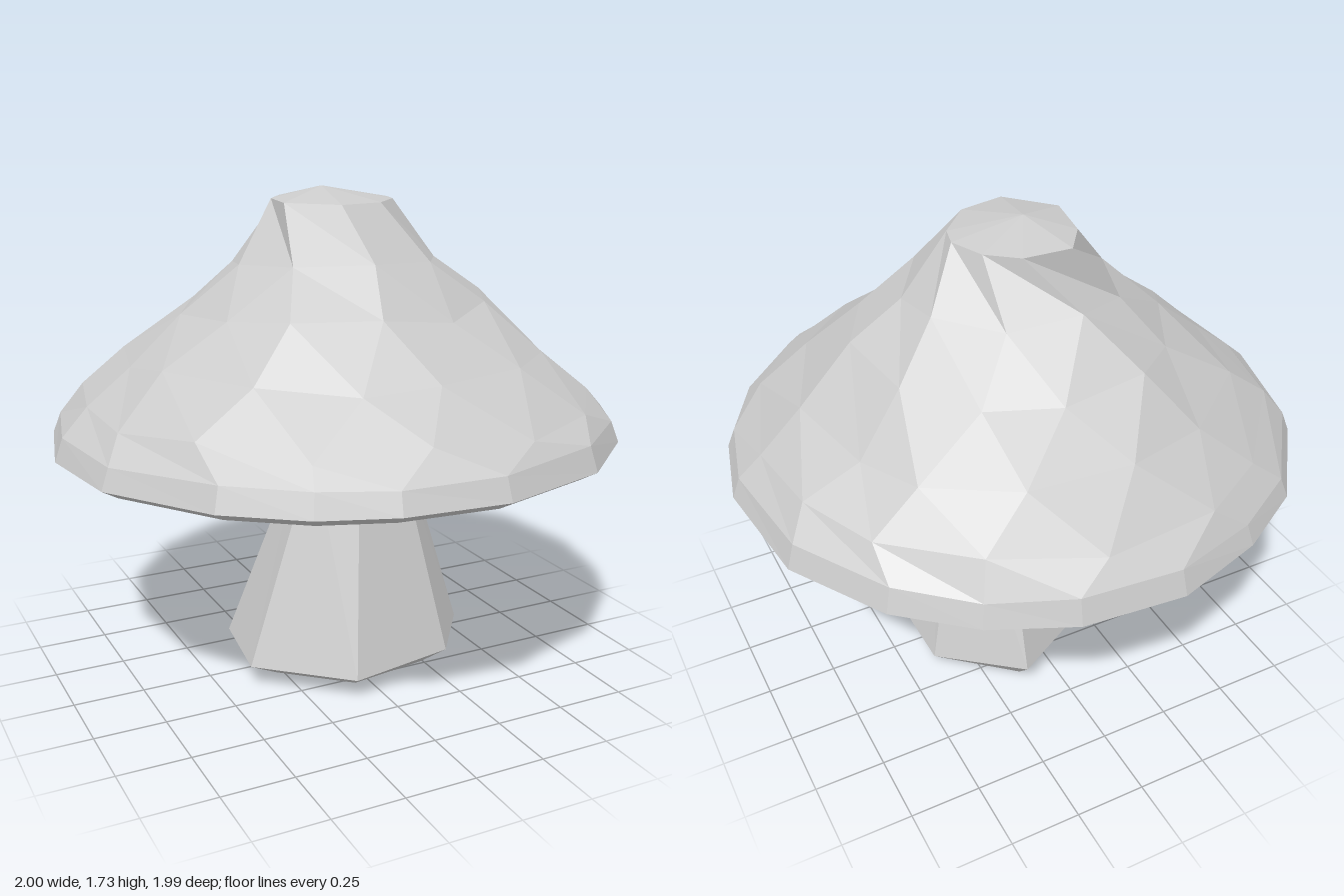
import * as THREE from 'three';

const material = new THREE.MeshStandardMaterial({ color: 0xcccccc, flatShading: true, side: THREE.DoubleSide });

let seed = 7;
const jitter = (amount) => {
  seed = (seed * 16807) % 2147483647;
  return (seed / 2147483647 - 0.5) * 2 * amount;
};

// Irregular ring of n points, angle running from +x towards +z.
function ring(n, radius, y, wobble = 0, cx = 0, cz = 0, turn = 0) {
  return Array.from({ length: n }, (_, i) => {
    const a = ((i + turn) / n) * Math.PI * 2 + jitter(wobble);
    const r = radius * (1 + jitter(wobble * 0.4));
    return [cx + Math.cos(a) * r, y + jitter(wobble * 0.35), cz + Math.sin(a) * r];
  });
}

// Joins successive rings, which may have different point counts, with triangles.
function loft(name, rings) {
  const out = [];
  for (let k = 0; k + 1 < rings.length; k++) {
    const A = rings[k], B = rings[k + 1];
    const na = A.length > 1 ? A.length : 0, nb = B.length > 1 ? B.length : 0;
    const a = (i) => A[i % A.length], b = (j) => B[j % B.length];
    let i = 0, j = 0;
    while (i < na || j < nb) {
      if (j >= nb || (i < na && (i + 1) / na <= (j + 1) / nb)) {
        out.push(...a(i), ...a(i + 1), ...b(j));
        i++;
      } else {
        out.push(...a(i), ...b(j + 1), ...b(j));
        j++;
      }
    }
  }
  const geometry = new THREE.BufferGeometry();
  geometry.setAttribute('position', new THREE.Float32BufferAttribute(out, 3));
  geometry.computeVertexNormals();
  const mesh = new THREE.Mesh(geometry, material);
  mesh.name = name;
  return mesh;
}

// Widest outline of the cap and outline of its crown, as [x, z].
const rim = [[1, 0.08], [0.93, 0.37], [0.8, 0.6], [0.51, 0.86], [0.1, 0.99], [-0.25, 0.96],
  [-0.49, 0.87], [-0.72, 0.69], [-0.95, 0.33], [-1, -0.05], [-0.91, -0.44], [-0.67, -0.75],
  [-0.42, -0.9], [-0.1, -1], [0.25, -0.97], [0.52, -0.85], [0.75, -0.66], [0.95, -0.34]];
const crown = [[0.2, 0.05], [0.09, 0.17], [-0.07, 0.2], [-0.21, 0.05], [-0.18, -0.13],
  [-0.1, -0.24], [0.07, -0.23], [0.17, -0.15], [0.22, -0.03]];
const rimRing = (scale, y, wobble = 0) =>
  rim.map(([x, z]) => [x * scale, y + 0.015 * z + jitter(wobble), z * scale]);

function createCap() {
  return loft('cap', [
    [[-0.03, 1.73, -0.04]],
    crown.map(([x, z]) => [x, 1.685, z]),
    ring(9, 0.36, 1.49, 0.09, 0, -0.01, 0.4),
    ring(12, 0.54, 1.33, 0.08, 0, -0.02, 0.3),
    ring(14, 0.73, 1.17, 0.07, 0, -0.02, 0.3),
    ring(16, 0.89, 1.03, 0.05, 0, 0, 0.3),
    rimRing(0.972, 0.94, 0.012),
    rimRing(1, 0.865),
    rimRing(0.94, 0.83),
    // Hollow underside
    ring(16, 0.81, 0.88, 0.03, 0, 0, 0.3),
    ring(12, 0.56, 1.07, 0.08, 0, 0, 0.3),
    ring(9, 0.26, 1.24, 0.06, 0, 0, 0.3),
    [[0, 1.29, 0]],
  ]);
}

function createStem() {
  // Shoulder just above the ground, as [x, y, z].
  const foot = [[0.43, 0.12, 0.16], [0.28, 0.09, 0.35], [-0.11, 0.08, 0.41], [-0.4, 0.08, 0.15],
    [-0.37, 0.1, -0.14], [0.15, 0.12, -0.44], [0.4, 0.05, -0.16]];
  const section = (scale, y, cx, cz) => foot.map(([x, , z]) => [cx + x * scale, y, cz + z * scale]);
  return loft('stem', [
    [[0.05, 1.25, 0.05]],
    section(0.33, 1.24, 0.05, 0.05),
    section(0.43, 0.83, 0.04, 0.04),
    foot,
    section(0.76, 0.012, 0.02, -0.01),
    [[0.02, 0, -0.01]],
  ]);
}

export function createModel() {
  seed = 7;
  const group = new THREE.Group();
  group.name = 'mushroom';
  group.add(createCap(), createStem());
  return group;
}
